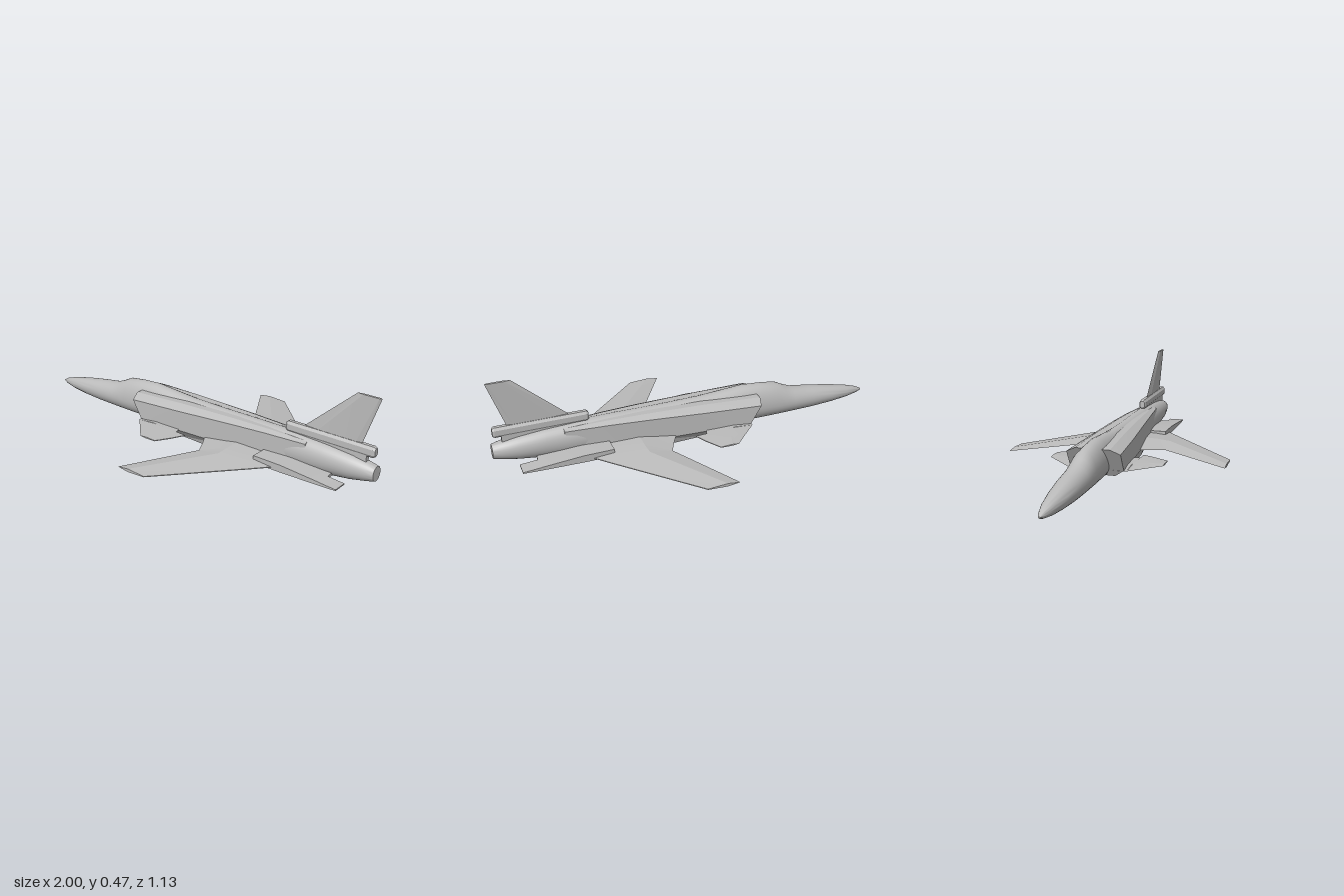
import * as THREE from 'three';
import { toCreasedNormals } from 'three/addons/utils/BufferGeometryUtils.js';

// Skin a list of equal-length closed rings of [x, y, z], cap both ends, and face it outward.
function loft(rings, crease) {
  const n = rings[0].length, pts = rings.flat(), idx = [];
  for (let r = 0; r < rings.length - 1; r++) {
    for (let i = 0; i < n; i++) {
      const a = r * n + i, b = r * n + (i + 1) % n;
      idx.push(a, b, a + n, b, b + n, a + n);
    }
  }
  const last = (rings.length - 1) * n;
  for (let i = 1; i < n - 1; i++) idx.push(0, i + 1, i, last, last + i, last + i + 1);
  const v = pts.map((p) => new THREE.Vector3(...p));
  let volume = 0;
  for (let i = 0; i < idx.length; i += 3) {
    volume += v[idx[i]].dot(v[idx[i + 1]].clone().cross(v[idx[i + 2]]));
  }
  if (volume < 0) idx.reverse();
  const g = new THREE.BufferGeometry();
  g.setAttribute('position', new THREE.Float32BufferAttribute(pts.flat(), 3));
  g.setIndex(idx);
  return toCreasedNormals(g, crease);
}

export function createModel() {
  const jet = new THREE.Group();
  jet.name = 'jet';
  const grey = new THREE.MeshStandardMaterial({ color: 0xbbbbbb });
  grey.name = 'airframe grey';
  const add = (name, rings, crease = 0.15) => {
    const mesh = new THREE.Mesh(loft(rings, crease), grey);
    mesh.name = name;
    jet.add(mesh);
  };

  // Fuselage stations: x, bottom, widest height, top, half width
  const stations = [
    [-1, 0.056, 0.06, 0.064, 0.004], [-0.97, 0.046, 0.063, 0.08, 0.017],
    [-0.9, 0.035, 0.067, 0.1, 0.034], [-0.8, 0.027, 0.073, 0.12, 0.049],
    [-0.68, 0.021, 0.08, 0.14, 0.059], [-0.57, 0.019, 0.085, 0.156, 0.063],
    [-0.52, 0.018, 0.088, 0.176, 0.064], [-0.47, 0.017, 0.09, 0.201, 0.065],
    [-0.38, 0.016, 0.095, 0.212, 0.065], [-0.28, 0.016, 0.1, 0.218, 0.065],
    [-0.18, 0.015, 0.1, 0.21, 0.064], [-0.05, 0.013, 0.1, 0.2, 0.063],
    [0.15, 0.008, 0.1, 0.196, 0.062], [0.4, 0.01, 0.105, 0.196, 0.062],
    [0.6, 0.023, 0.112, 0.194, 0.061], [0.75, 0.037, 0.115, 0.187, 0.058],
    [0.88, 0.054, 0.115, 0.175, 0.053], [0.96, 0.07, 0.115, 0.161, 0.042],
    [1, 0.08, 0.115, 0.151, 0.034],
  ];
  add('fuselage', stations.map(([x, lo, mid, hi, w]) =>
    Array.from({ length: 32 }, (_, i) => {
      const a = (i / 32) * Math.PI * 2, s = Math.sin(a);
      return [x, mid + s * (s > 0 ? hi - mid : mid - lo), w * Math.cos(a)];
    })), 0.7);

  // Flat-faced ring in the x-y plane: sharp nose, crest, thin tail
  const foil = (z, le, te, yc, up, down) => {
    const crest = le + (te - le) * 0.38;
    return [[le, yc, z], [crest, yc + up, z], [te, yc + 0.002, z],
      [te, yc - 0.002, z], [crest, yc - down, z]];
  };

  for (const [side, s] of [['left', 1], ['right', -1]]) {
    const mirror = (rings) => rings.map((r) => r.map(([x, y, z]) => [x, y, z * s]));

    // Air intake and belly fairing, narrowing aft; the mouth is raked
    // Stations: x, top z, top y, outer z, shoulder y, lower y, belly z, belly y
    const ducts = [
      [-0.3, 0.085, 0.178, 0.133, 0.155, 0.065, 0.085, 0.03],
      [-0.05, 0.07, 0.188, 0.115, 0.163, 0.06, 0.08, 0.015],
      [0.25, 0.055, 0.19, 0.09, 0.172, 0.055, 0.072, 0],
      [0.45, 0.045, 0.188, 0.072, 0.175, 0.065, 0.05, 0.013],
      [0.66, 0.03, 0.18, 0.05, 0.172, 0.085, 0.03, 0.035],
    ];
    add(side + 'Intake', mirror(ducts.map(([x, zt, yt, zo, ys, yl, zb, yb], i) => {
      const rake = (y) => (i ? x : x - (y - 0.1) * 0.6);
      return [[0, yt], [zt, yt], [zo, ys], [zo, yl], [zb, yb], [0, yb]]
        .map(([z, y]) => [rake(y), y, z]);
    })));

    // Forward-swept wing
    add(side + 'Wing', mirror([
      foil(0.04, 0.08, 0.66, 0.065, 0.024, 0.02),
      foil(0.155, 0.148, 0.55, 0.062, 0.022, 0.017),
      foil(0.22, 0.18, 0.485, 0.058, 0.02, 0.014),
      foil(0.565, -0.02, 0.14, 0.042, 0.008, 0.008),
    ]));

    // Canard ahead of the wing
    add(side + 'Canard', mirror([
      foil(0.08, -0.28, -0.05, 0.063, 0.008, 0.008),
      foil(0.144, -0.28, -0.03, 0.063, 0.008, 0.008),
      foil(0.146, -0.279, 0.03, 0.063, 0.008, 0.008),
      foil(0.21, -0.215, 0, 0.063, 0.007, 0.007),
      foil(0.287, -0.14, -0.045, 0.063, 0.004, 0.004),
    ]));

    // Tail strake, wedge-shaped and cut back beside the nozzle
    add(side + 'Strake', mirror([
      [0.45, 0.02, 0.09, 0.052], [0.6, 0.02, 0.088, 0.052],
      [0.8, 0.03, 0.072, 0.055], [0.805, 0.08, 0.071, 0.055], [0.89, 0.08, 0.064, 0.058],
    ].map(([x, zi, hi, lo]) => [[x, hi, zi], [x, hi, 0.155], [x, lo, 0.155], [x, lo, zi]])));
  }

  // Chamfered rail along the spine under the fin
  const rail = (x, k) => [[-1, -0.5], [-0.5, -1], [0.5, -1], [1, -0.5],
    [1, 0.5], [0.5, 1], [-0.5, 1], [-1, 0.5]]
    .map(([z, y]) => [x, 0.215 + y * 0.026 * k, z * 0.018 * k]);
  add('finRail', [rail(0.53, 0.75), rail(0.54, 1), rail(0.98, 1), rail(0.99, 0.75)]);

  // Pylon joining the rail to the rear fuselage
  add('finPylon', [0.56, 0.95].map((x) =>
    [[x, 0.15, -0.012], [x, 0.15, 0.012], [x, 0.21, 0.012], [x, 0.21, -0.012]]));

  // Vertical fin
  const finRing = (y, le, te, t) => {
    const a = le + (te - le) * 0.25, b = te - (te - le) * 0.1;
    return [[le, y, 0], [a, y, t], [b, y, t], [te, y, 0], [b, y, -t], [a, y, -t]];
  };
  add('fin', [finRing(0.21, 0.59, 0.91, 0.007), finRing(0.467, 0.88, 0.997, 0.006)]);

  return jet;
}
